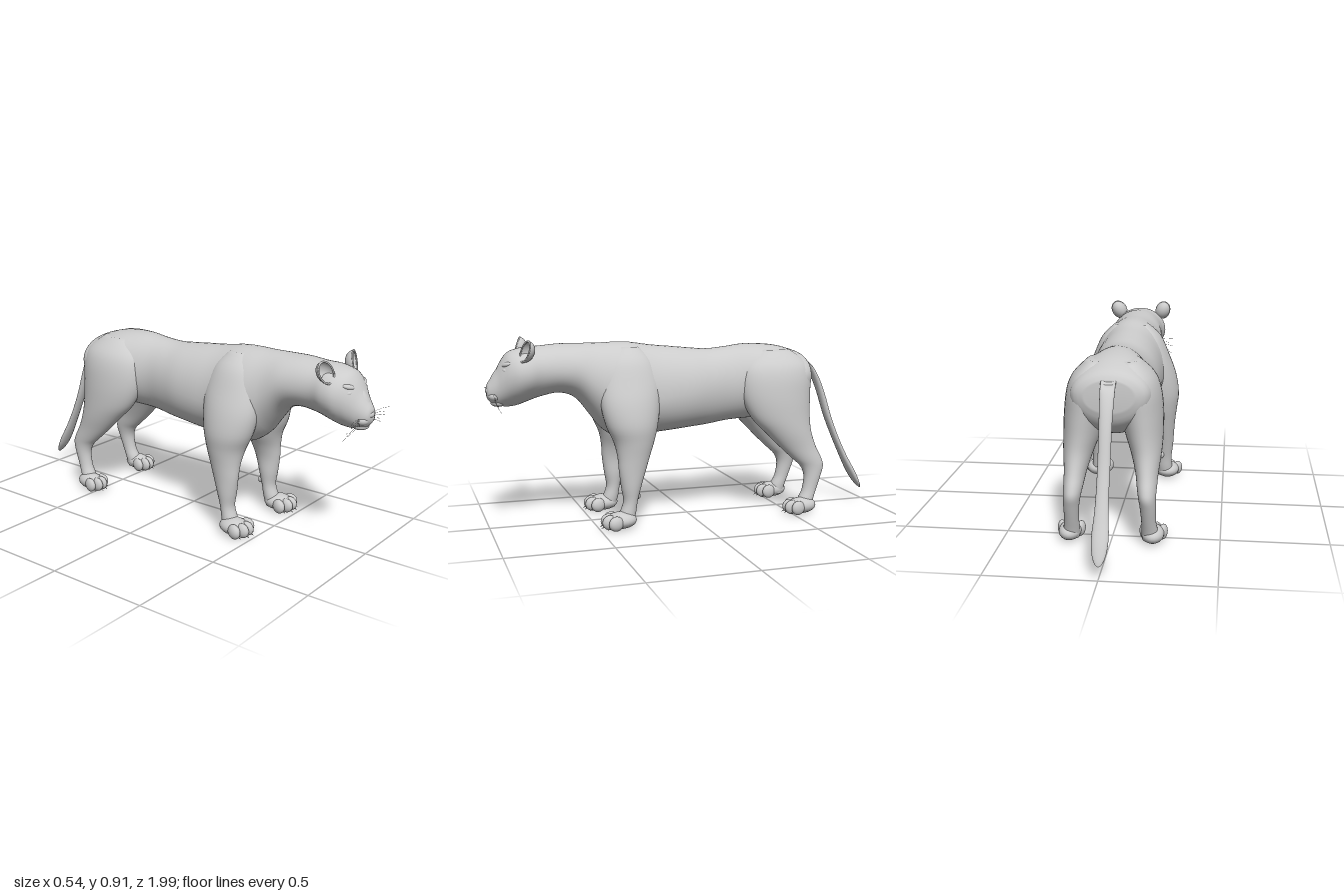
import * as THREE from 'three';

const material = new THREE.MeshStandardMaterial({ color: 0xcccccc, side: THREE.DoubleSide });

function addMesh(parent, name, geometry, position = [0, 0, 0], scale = [1, 1, 1], rotation = [0, 0, 0]) {
  const mesh = new THREE.Mesh(geometry, material);
  mesh.name = name;
  mesh.position.set(...position);
  mesh.scale.set(...scale);
  mesh.rotation.set(...rotation);
  parent.add(mesh);
  return mesh;
}

// Smooth value between table rows (Catmull-Rom on every column)
function sampleRow(rows, t) {
  const i = Math.min(Math.floor(t), rows.length - 2), f = t - i;
  const at = (k) => rows[Math.max(0, Math.min(rows.length - 1, k))];
  return rows[i].map((_, c) => {
    const [a, b, d, e] = [at(i - 1)[c], at(i)[c], at(i + 1)[c], at(i + 2)[c]];
    return b + 0.5 * f * (d - a + f * (2 * a - 5 * b + 4 * d - e + f * (3 * (b - d) + e - a)));
  });
}

// Closed skin through rings; ring(row, angle) gives a point
function loft(rows, ring, sides = 36, perRow = 4) {
  const positions = [], index = [], steps = (rows.length - 1) * perRow;
  for (let i = 0; i <= steps; i++) {
    const row = sampleRow(rows, i / perRow);
    for (let j = 0; j < sides; j++) positions.push(...ring(row, (j / sides) * Math.PI * 2));
  }
  for (let i = 0; i < steps; i++) {
    for (let j = 0; j < sides; j++) {
      const a = i * sides + j, b = i * sides + ((j + 1) % sides);
      index.push(a, b, a + sides, b, b + sides, a + sides);
    }
  }
  for (const [start, last] of [[0, false], [steps * sides, true]]) {
    const centre = [0, 0, 0], c = positions.length / 3;
    for (let j = 0; j < sides; j++) for (let k = 0; k < 3; k++) centre[k] += positions[(start + j) * 3 + k] / sides;
    positions.push(...centre);
    for (let j = 0; j < sides; j++) {
      const a = start + j, b = start + ((j + 1) % sides);
      index.push(...(last ? [a, b, c] : [b, a, c]));
    }
  }
  const geometry = new THREE.BufferGeometry();
  geometry.setAttribute('position', new THREE.Float32BufferAttribute(positions, 3));
  geometry.setIndex(index);
  geometry.computeVertexNormals();
  return geometry;
}

// Trunk, neck and head: z, bottom, widest height, top, half width, lower taper
const trunkRows = [
  [-0.632, 0.63, 0.70, 0.77, 0.11, 1], [-0.60, 0.56, 0.70, 0.81, 0.17, 1],
  [-0.50, 0.50, 0.68, 0.845, 0.195, 1], [-0.40, 0.485, 0.68, 0.86, 0.19, 0.9],
  [-0.30, 0.482, 0.67, 0.862, 0.165, 0.9], [-0.20, 0.475, 0.66, 0.85, 0.145, 0.9],
  [-0.10, 0.46, 0.65, 0.842, 0.155, 0.9], [0, 0.45, 0.64, 0.85, 0.172, 0.9],
  [0.10, 0.44, 0.63, 0.86, 0.178, 0.9], [0.20, 0.43, 0.62, 0.87, 0.18, 1],
  [0.30, 0.42, 0.62, 0.885, 0.19, 1], [0.38, 0.425, 0.63, 0.887, 0.185, 1],
  [0.45, 0.47, 0.66, 0.885, 0.165, 1], [0.50, 0.535, 0.70, 0.885, 0.15, 1],
  [0.57, 0.62, 0.75, 0.885, 0.14, 1], [0.65, 0.65, 0.76, 0.885, 0.132, 1],
  [0.74, 0.635, 0.76, 0.877, 0.128, 1.2], [0.80, 0.615, 0.75, 0.875, 0.14, 1.4],
  [0.85, 0.598, 0.745, 0.865, 0.138, 1.4], [0.89, 0.592, 0.735, 0.85, 0.117, 1.4],
  [0.92, 0.594, 0.715, 0.815, 0.092, 1.2], [0.945, 0.599, 0.69, 0.77, 0.07, 1],
  [0.97, 0.61, 0.67, 0.732, 0.052, 1], [0.988, 0.63, 0.665, 0.705, 0.036, 1],
  [0.994, 0.645, 0.667, 0.69, 0.02, 1],
];
const trunkRing = ([z, low, mid, high, w, taper], a) => {
  const c = Math.cos(a), s = Math.sin(a);
  const x = s < 0 ? Math.sign(c) * Math.pow(Math.abs(c), taper) : c;
  return [w * x, mid + s * (s < 0 ? mid - low : high - mid), z];
};

// Legs from top to ankle: y, inner x, outer x, back z, front z
const frontLegRows = [
  [0.865, 0.04, 0.09, 0.27, 0.36], [0.80, 0.03, 0.155, 0.21, 0.43], [0.70, 0.04, 0.20, 0.18, 0.465],
  [0.60, 0.045, 0.236, 0.185, 0.475], [0.50, 0.055, 0.253, 0.20, 0.455], [0.42, 0.075, 0.245, 0.22, 0.42],
  [0.35, 0.11, 0.236, 0.245, 0.405], [0.28, 0.13, 0.23, 0.268, 0.40], [0.20, 0.133, 0.225, 0.292, 0.39],
  [0.13, 0.14, 0.217, 0.31, 0.38], [0.07, 0.14, 0.22, 0.32, 0.40], [0.02, 0.145, 0.225, 0.335, 0.41],
];
const hindLegRows = [
  [0.835, 0.03, 0.12, -0.52, -0.36], [0.77, 0.02, 0.185, -0.60, -0.275], [0.70, 0.02, 0.215, -0.62, -0.245],
  [0.60, 0.03, 0.228, -0.615, -0.25], [0.50, 0.055, 0.23, -0.61, -0.295], [0.42, 0.085, 0.226, -0.615, -0.37],
  [0.34, 0.11, 0.216, -0.64, -0.45], [0.28, 0.122, 0.212, -0.67, -0.515], [0.24, 0.13, 0.21, -0.68, -0.557],
  [0.19, 0.138, 0.21, -0.665, -0.575], [0.12, 0.143, 0.21, -0.64, -0.565], [0.07, 0.142, 0.217, -0.622, -0.54],
  [0.02, 0.145, 0.22, -0.607, -0.53],
];
const legRing = (side) => ([y, xin, xout, back, front], a) => [
  side * ((xin + xout) / 2 + side * Math.cos(a) * (xout - xin) / 2), y,
  (back + front) / 2 + side * Math.sin(a) * (front - back) / 2,
];

const ball = new THREE.SphereGeometry(1, 24, 16);
const claw = new THREE.ConeGeometry(0.006, 0.025, 8).rotateX(2.1);

function addPaw(parent, name, x, z, size) {
  const paw = new THREE.Group();
  paw.name = name;
  paw.position.set(x, 0, z);
  paw.scale.set(size, 1, 1);
  parent.add(paw);
  addMesh(paw, 'pawPad', ball, [0, 0.043, -0.01], [0.062, 0.041, 0.075]);
  [-1.5, -0.5, 0.5, 1.5].forEach((k) => {
    const tz = 0.052 - 0.011 * k * k;
    addMesh(paw, 'toe', ball, [k * 0.035, 0.039, tz], [0.024, 0.036, 0.038], [0, k * 0.2, 0]);
    addMesh(paw, 'claw', claw, [k * 0.037, 0.018, tz + 0.033]);
  });
}

// Cupped ear, open to the front, with a rounded rim
function addEar(parent, side) {
  const ear = new THREE.Group();
  ear.name = side > 0 ? 'leftEar' : 'rightEar';
  ear.position.set(side * 0.126, 0.86, 0.825);
  ear.rotation.set(-0.25, side * 0.3, -side * 0.45);
  parent.add(ear);
  const cup = new THREE.SphereGeometry(1, 28, 12, 0, Math.PI * 2, 0, Math.PI / 2).rotateX(-Math.PI / 2);
  addMesh(ear, 'earCup', cup, [0, 0, 0], [0.041, 0.055, 0.045]);
  addMesh(ear, 'earRim', new THREE.TorusGeometry(1, 0.1, 8, 32), [0, 0, 0], [0.039, 0.053, 0.04]);
}

function addFace(parent, side) {
  const label = side > 0 ? 'left' : 'right';
  addMesh(parent, label + 'Eye', ball, [side * 0.073, 0.77, 0.909], [0.018, 0.012, 0.013], [0, side * 0.5, -side * 0.2]);
  addMesh(parent, label + 'EyeRim', new THREE.TorusGeometry(1, 0.2, 8, 28), [side * 0.073, 0.77, 0.913],
    [0.02, 0.013, 0.012], [-0.3, side * 0.7, -side * 0.2]);
  addMesh(parent, label + 'Brow', ball, [side * 0.062, 0.795, 0.899], [0.035, 0.014, 0.022], [0, side * 0.5, side * 0.25]);
  addMesh(parent, label + 'MuzzlePad', ball, [side * 0.026, 0.646, 0.957], [0.033, 0.024, 0.032]);
  // Whiskers
  for (let i = 0; i < 5; i++) {
    const y = 0.655 - i * 0.007, reach = 0.178 - (i % 2) * 0.025;
    const curve = new THREE.QuadraticBezierCurve3(
      new THREE.Vector3(side * 0.048, y, 0.96),
      new THREE.Vector3(side * 0.11, y + 0.016 - i * 0.006, 0.965),
      new THREE.Vector3(side * reach, y + 0.008 - i * 0.013, 0.985 - i * 0.01));
    addMesh(parent, 'whisker', new THREE.TubeGeometry(curve, 10, 0.0007, 4));
  }
}

// Tail: y, z, radius
const tailRows = [
  [0.775, -0.585, 0.032], [0.765, -0.645, 0.034], [0.70, -0.695, 0.032], [0.60, -0.74, 0.029], [0.46, -0.787, 0.028],
  [0.34, -0.838, 0.028], [0.25, -0.882, 0.031], [0.17, -0.925, 0.037], [0.11, -0.957, 0.032], [0.075, -0.978, 0.018],
  [0.062, -0.988, 0.004],
];
const tailRing = ([y, z, r], a) => [r * Math.cos(a), y + 0.5 * r * Math.sin(a), z + 0.83 * r * Math.sin(a)];

export function createModel() {
  const model = new THREE.Group();
  model.name = 'bigCat';
  addMesh(model, 'trunkAndHead', loft(trunkRows, trunkRing, 48));
  addMesh(model, 'tail', loft(tailRows, tailRing, 20));

  for (const side of [1, -1]) {
    const label = side > 0 ? 'left' : 'right';
    addMesh(model, label + 'FrontLeg', loft(frontLegRows, legRing(side)));
    addMesh(model, label + 'HindLeg', loft(hindLegRows, legRing(side)));
    addPaw(model, label + 'FrontPaw', side * 0.193, 0.405, 1);
    addPaw(model, label + 'HindPaw', side * 0.192, -0.545, 0.84);
    addMesh(model, label + 'DewPad', ball, [side * 0.165, 0.15, 0.305], [0.014, 0.018, 0.014]);
    addEar(model, side);
    addFace(model, side);
  }

  // Nose, bridge and lower jaw
  addMesh(model, 'noseBridge', ball, [0, 0.738, 0.938], [0.032, 0.07, 0.026], [-0.6, 0, 0]);
  addMesh(model, 'nose', ball, [0, 0.671, 0.982], [0.03, 0.016, 0.018]);
  addMesh(model, 'noseTip', ball, [0, 0.656, 0.983], [0.011, 0.018, 0.013]);
  addMesh(model, 'chin', ball, [0, 0.611, 0.94], [0.042, 0.018, 0.036]);
  return model;
}
